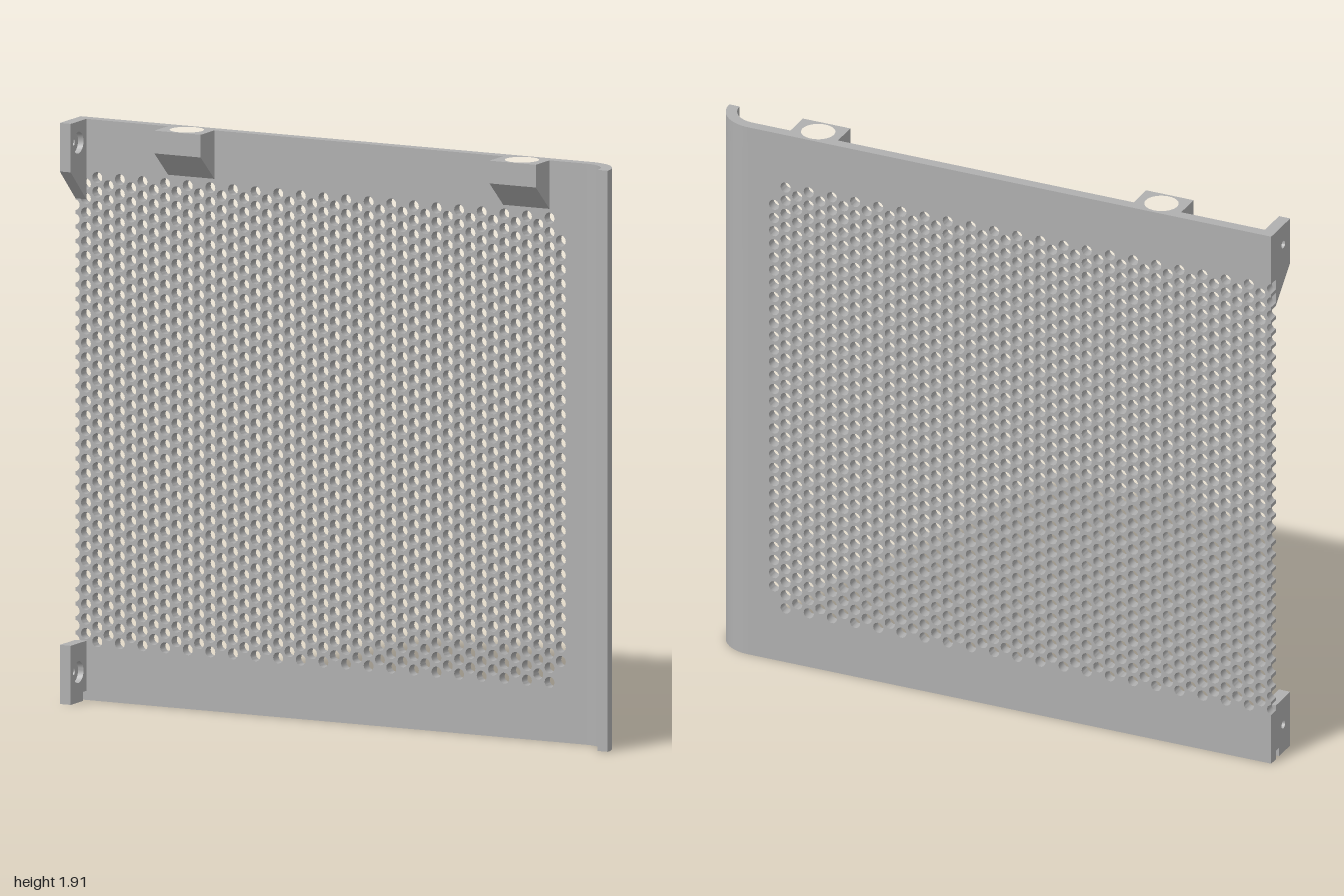
import * as THREE from 'three';
import { toCreasedNormals } from 'three/addons/utils/BufferGeometryUtils.js';

const HEIGHT = 1.915, SHELF = 1.84;        // full height, floor of the top pockets
const BACK = -0.073, FACE = -0.036;        // panel thickness in z
const BEND_X = 0.875, BEND_Z = 0.052, R_OUT = 0.125, R_IN = 0.088;
const HOLE_R = 0.0183, COL = 0.083, ROW = 0.0478, HOLE_X = -0.92, HOLE_Y = 0.195, ROWS = 33;
const CLIPS = [[-0.66, -0.49], [0.57, 0.74]];

const metal = new THREE.MeshStandardMaterial({ color: 0xb0b0b0 });
metal.name = 'grey';

const V = (x, y) => new THREE.Vector2(x, y);

function circle(cx, cy, r, n) {
  const pts = [];
  for (let i = 0; i < n; i++) {
    const a = (-i / n) * Math.PI * 2;
    pts.push(V(cx + r * Math.cos(a), cy + r * Math.sin(a)));
  }
  return new THREE.Path(pts);
}

function extrude(shape, depth) {
  return new THREE.ExtrudeGeometry(shape, { depth, bevelEnabled: false });
}

// Extrude an (x, z) outline upwards from y0 to y1
function extrudeY(points, y0, y1, holes = []) {
  const shape = new THREE.Shape(points.map(([x, z]) => V(x, -z)));
  shape.holes.push(...holes);
  const g = extrude(shape, y1 - y0).rotateX(-Math.PI / 2).translate(0, y0, 0);
  return toCreasedNormals(g, 0.5);
}

// Extrude a (z, y) outline sideways from x0 to x1
function extrudeX(points, x0, x1, holes = []) {
  const shape = new THREE.Shape(points.map(([z, y]) => V(-z, y)));
  shape.holes.push(...holes);
  const g = extrude(shape, x1 - x0).rotateY(Math.PI / 2).translate(x0, 0, 0);
  return toCreasedNormals(g, 0.5);
}

// Quarter-round edge: outer arc forward, inner arc back
function bendOutline() {
  const pts = [], n = 16;
  for (let i = 0; i <= n; i++) {
    const a = (i / n) * Math.PI / 2;
    pts.push([BEND_X + R_OUT * Math.sin(a), BEND_Z - R_OUT * Math.cos(a)]);
  }
  for (let i = n; i >= 0; i--) {
    const a = (i / n) * Math.PI / 2;
    pts.push([BEND_X + R_IN * Math.sin(a), BEND_Z - R_IN * Math.cos(a)]);
  }
  return pts;
}

// Perforated sheet, with half holes cutting the -x edge
function panelGeometry() {
  const pts = [V(-1, 0), V(BEND_X, 0), V(BEND_X, SHELF), V(-1, SHELF)];
  const edgeX = HOLE_X - COL;
  const limit = Math.acos((-1 - edgeX) / HOLE_R);
  for (let j = ROWS - 1; j >= 0; j--) {
    for (let i = 0; i <= 7; i++) {
      const a = limit * (1 - (2 * i) / 7);
      pts.push(V(edgeX + HOLE_R * Math.cos(a), HOLE_Y + j * ROW + HOLE_R * Math.sin(a)));
    }
  }
  const shape = new THREE.Shape(pts);
  // Half-column steps: even columns full, odd columns shifted by half a row
  for (let c = -1; c <= 41; c++) {
    const odd = c % 2 !== 0;
    const trim = c === 41 ? 1 : 0;
    const count = odd ? ROWS - 1 : ROWS;
    for (let j = trim; j < count - trim; j++) {
      const y = HOLE_Y + (j + (odd ? 0.5 : 0)) * ROW;
      shape.holes.push(circle(HOLE_X + c * COL / 2, y, HOLE_R, 14));
    }
  }
  const g = extrude(shape, FACE - BACK).translate(0, 0, BACK);
  return toCreasedNormals(g, 0.6);
}

export function createModel() {
  const model = new THREE.Group();
  model.name = 'perforatedCover';
  const add = (name, geometry) => {
    const mesh = new THREE.Mesh(geometry, metal);
    mesh.name = name;
    model.add(mesh);
  };

  add('perforatedPanel', panelGeometry());
  add('curvedEdge', extrudeY(bendOutline(), 0, SHELF));

  // Top strip: sheet, curved edge and both socket blocks in one section
  const outline = [[-1, BACK], ...bendOutline()];
  for (const [x0, x1] of [...CLIPS].reverse()) {
    outline.push([x1, FACE], [x1, 0.06], [x0, 0.06], [x0, FACE]);
  }
  outline.push([-1, FACE]);
  const sockets = CLIPS.map(([x0, x1]) => circle((x0 + x1) / 2, 0.005, 0.056, 32));
  add('topStrip', extrudeY(outline, SHELF, HEIGHT, sockets));

  // Sloped undersides of the socket blocks
  for (const [x0, x1] of CLIPS) {
    add('socketWedge', extrudeX([[FACE, SHELF], [0.06, SHELF], [FACE, 1.755]], x0, x1));
  }

  // Side brackets with a counterbored screw hole
  const upper = [[FACE, HEIGHT], [0.073, HEIGHT], [0.073, 1.755], [FACE, 1.65]];
  const lower = [[FACE, 0.195], [0.073, 0.195], [0.073, 0], [-0.012, 0], [-0.012, 0.03], [FACE, 0.03]];
  for (const [name, profile, y] of [['upperBracket', upper, 1.845], ['lowerBracket', lower, 0.1]]) {
    add(name + 'Outer', extrudeX(profile, -1, -0.98, [circle(-0.02, y, 0.014, 20)]));
    add(name + 'Inner', extrudeX(profile, -0.98, -0.96, [circle(-0.02, y, 0.036, 24)]));
  }
  return model;
}
